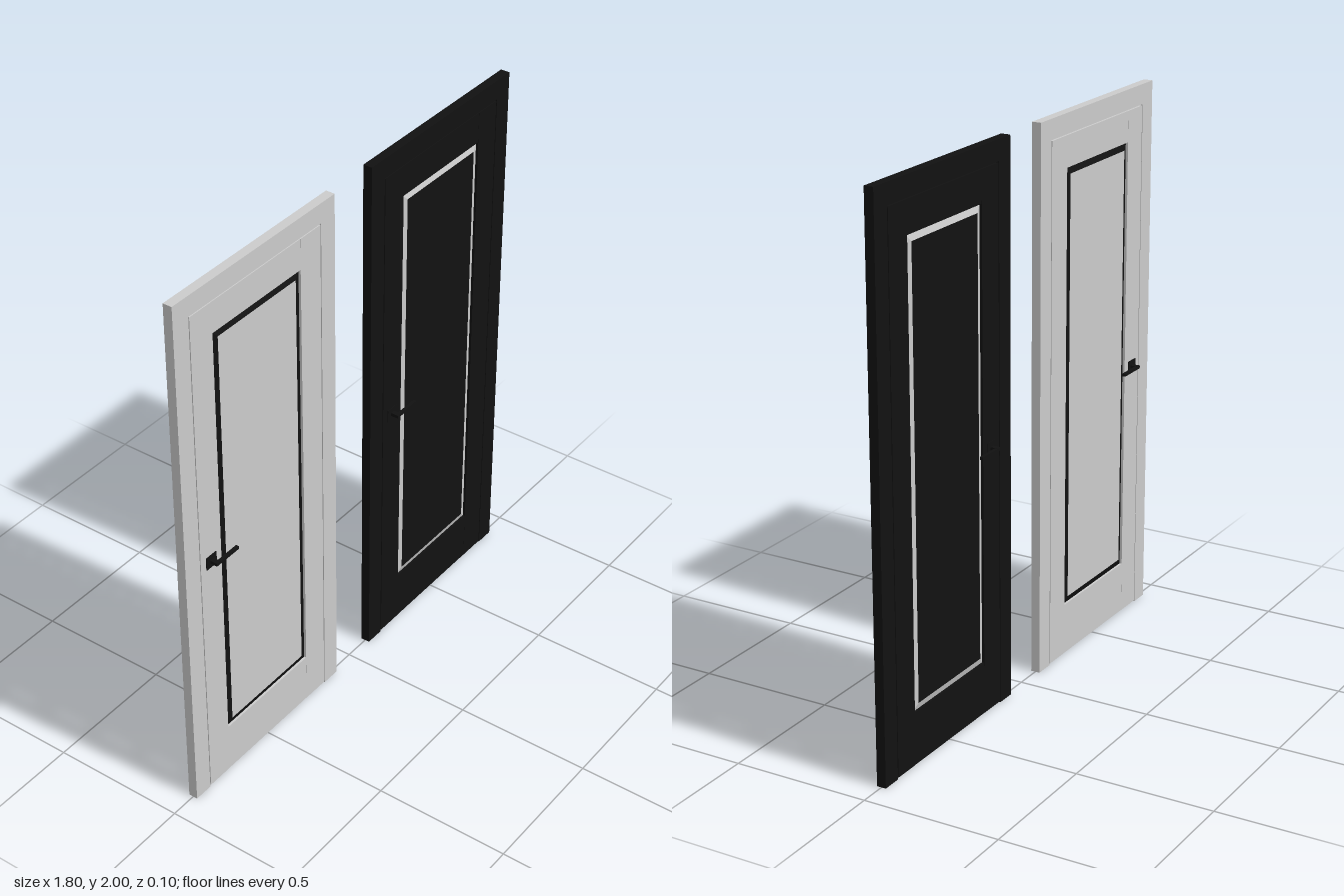
import * as THREE from 'three';

const grey = new THREE.MeshStandardMaterial({ color: 0xcccccc });
const black = new THREE.MeshStandardMaterial({ color: 0x111111 });

const D = 0.017; // half the door thickness

// Box given by its limits in x and y, centred on z
function slab(parent, name, x0, x1, y0, y1, half, material, z = 0) {
  const mesh = new THREE.Mesh(new THREE.BoxGeometry(x1 - x0, y1 - y0, half * 2), material);
  mesh.position.set((x0 + x1) / 2, (y0 + y1) / 2, z);
  mesh.name = name;
  parent.add(mesh);
  return mesh;
}

// Sloped rectangular ring from a low outer edge to a raised inner edge
function bevelRing(w, h, band, zOuter, zInner) {
  const signs = [[-1, -1], [1, -1], [1, 1], [-1, 1]];
  const outer = signs.map(([x, y]) => [x * w / 2, y * h / 2, zOuter]);
  const inner = signs.map(([x, y]) => [x * (w / 2 - band), y * (h / 2 - band), zInner]);
  const points = [];
  for (let i = 0; i < 4; i++) {
    const j = (i + 1) % 4;
    points.push(...outer[i], ...outer[j], ...inner[j], ...outer[i], ...inner[j], ...inner[i]);
  }
  const geometry = new THREE.BufferGeometry();
  geometry.setAttribute('position', new THREE.Float32BufferAttribute(points, 3));
  geometry.computeVertexNormals();
  return geometry;
}

// Lever handle with a square rose on each face
function makeHandle() {
  const handle = new THREE.Group();
  handle.name = 'handle';
  const y = 0.962;
  slab(handle, 'spindle', -0.28, -0.262, y - 0.006, y + 0.006, 0.046, black);
  for (const s of [1, -1]) {
    slab(handle, 'rose', -0.298, -0.247, y - 0.024, y + 0.024, 0.002, black, s * (D + 0.001));
    slab(handle, 'lever', -0.28, -0.167, y - 0.005, y + 0.005, 0.006, black, s * 0.042);
  }
  return handle;
}

function makeDoor(name, main, trim) {
  const door = new THREE.Group();
  door.name = name;

  // Surrounding frame
  const frame = new THREE.Group();
  frame.name = 'frame';
  slab(frame, 'leftJamb', 0.328, 0.4, 0, 2, D, main);
  slab(frame, 'rightJamb', -0.4, -0.328, 0, 2, D, main);
  slab(frame, 'head', -0.328, 0.328, 1.927, 2, D, main);
  door.add(frame);

  // Leaf: stiles and rails, with narrow gaps to the frame
  const leaf = new THREE.Group();
  leaf.name = 'leaf';
  const bottom = 0.005, top = 1.923, edge = 0.324, stile = 0.22;
  const low = 0.195, high = 1.81;
  slab(leaf, 'leftStile', stile, edge, bottom, top, D, main);
  slab(leaf, 'rightStile', -edge, -stile, bottom, top, D, main);
  slab(leaf, 'topRail', -stile, stile, high, top, D - 0.0005, main);
  slab(leaf, 'bottomRail', -stile, stile, bottom, low, D - 0.0005, main);

  // Raised centre panel with a contrasting bevelled border
  const band = 0.025, zOuter = 0.008, zInner = 0.016;
  slab(leaf, 'panel', -stile + band, stile - band, low + band, high - band, zInner, main);
  for (const s of [1, -1]) {
    const border = new THREE.Mesh(bevelRing(stile * 2, high - low, band, zOuter, zInner), trim);
    border.position.y = (low + high) / 2;
    border.rotation.y = s > 0 ? 0 : Math.PI;
    border.name = s > 0 ? 'frontBorder' : 'backBorder';
    leaf.add(border);
  }
  door.add(leaf, makeHandle());
  return door;
}

export function createModel() {
  const model = new THREE.Group();
  model.name = 'doors';
  const pale = makeDoor('paleDoor', grey, black);
  pale.position.x = -0.5;
  const dark = makeDoor('darkDoor', black, grey);
  dark.position.x = 0.5;
  model.add(pale, dark);
  return model;
}
